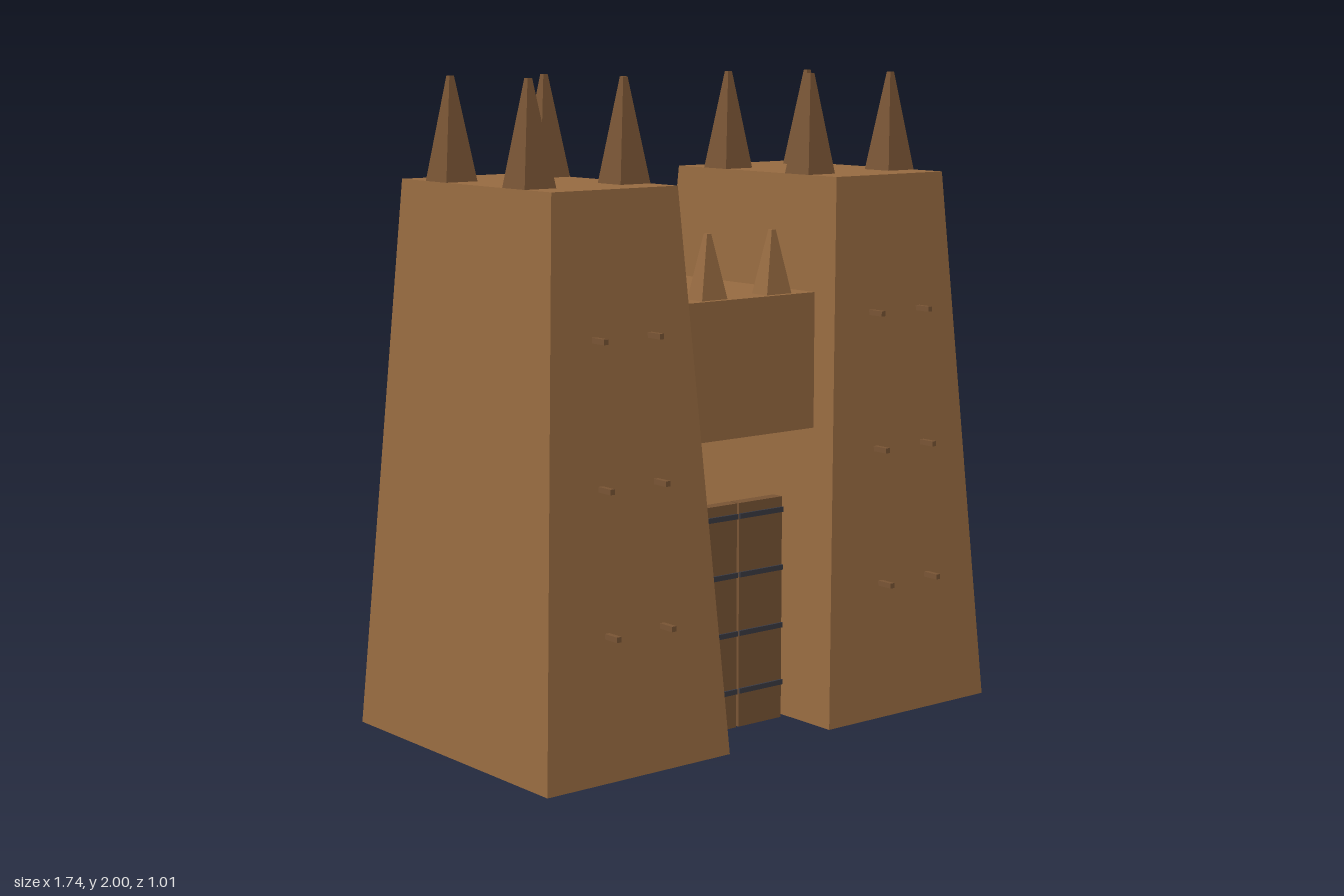
import * as THREE from 'three';

const brick = new THREE.MeshStandardMaterial({ color: 0x966a40 });
brick.name = 'mudBrick';
const wood = new THREE.MeshStandardMaterial({ color: 0x785434 });
wood.name = 'darkWood';
const iron = new THREE.MeshStandardMaterial({ color: 0x3a3a42 });
iron.name = 'iron';

// Tapered block: unit box whose top and bottom rectangles are set separately
// Rectangles are [x0, x1, z0, z1]
function frustum(bottom, top, y0, y1) {
  const geo = new THREE.BoxGeometry(1, 1, 1).toNonIndexed();
  const p = geo.attributes.position;
  for (let i = 0; i < p.count; i++) {
    const up = p.getY(i) > 0;
    const r = up ? top : bottom;
    p.setXYZ(i, p.getX(i) < 0 ? r[0] : r[1], up ? y1 : y0, p.getZ(i) < 0 ? r[2] : r[3]);
  }
  geo.computeVertexNormals();
  return geo;
}

function add(parent, name, geo, material, x = 0, y = 0, z = 0) {
  const mesh = new THREE.Mesh(geo, material);
  mesh.name = name;
  mesh.position.set(x, y, z);
  parent.add(mesh);
  return mesh;
}

// Square spike with a small blunt tip, standing on its base
const spike = (w, d, h, tip) =>
  frustum([-w / 2, w / 2, -d / 2, d / 2], [-tip, tip, -tip, tip], 0, h);

export function createModel() {
  const model = new THREE.Group();
  model.name = 'gatehouse';

  const spikeGeo = spike(0.11, 0.11, 0.31, 0.008);
  const smallSpikeGeo = spike(0.098, 0.07, 0.195, 0.008);
  const beamGeo = new THREE.BoxGeometry(0.016, 0.016, 0.1);
  const doorGeo = new THREE.BoxGeometry(0.174, 0.705, 0.04);
  const bandGeo = new THREE.BoxGeometry(0.174, 0.016, 0.008);

  for (const side of [-1, 1]) {
    // Sloping tower with roof spikes and protruding beams
    const tower = new THREE.Group();
    tower.name = side > 0 ? 'leftTower' : 'rightTower';
    model.add(tower);
    const cx = side * 0.535;
    add(tower, 'towerWall', frustum(
      [cx - 0.335, cx + 0.335, -0.505, 0.477],
      [cx - 0.225, cx + 0.225, -0.395, 0.367], 0, 1.69), brick);
    for (const dx of [-0.17, 0.17])
      for (const z of [-0.21, 0.185])
        add(tower, 'towerSpike', spikeGeo, wood, cx + dx, 1.69, z);
    for (const x of [0.435, 0.635])
      [0.425, 0.847, 1.27].forEach((y, i) =>
        add(tower, 'beam', beamGeo, wood, side * x, y, 0.455 - i * 0.0275));

    // Door leaf with iron bands
    const door = new THREE.Group();
    door.name = side > 0 ? 'leftDoor' : 'rightDoor';
    door.position.set(side * 0.0915, 0, 0.255);
    model.add(door);
    add(door, 'doorLeaf', doorGeo, wood, 0, 0.3525, 0);
    for (const y of [0.115, 0.298, 0.482, 0.665])
      add(door, 'doorBand', bandGeo, iron, 0, y, 0.023);

    // Small spike on the bridge
    add(model, 'bridgeSpike', smallSpikeGeo, brick, side * 0.127, 1.34, 0.28);
  }

  // Bridge between the towers
  add(model, 'bridge', new THREE.BoxGeometry(0.506, 0.42, 0.7), brick, 0, 1.13, -0.015);

  return model;
}
